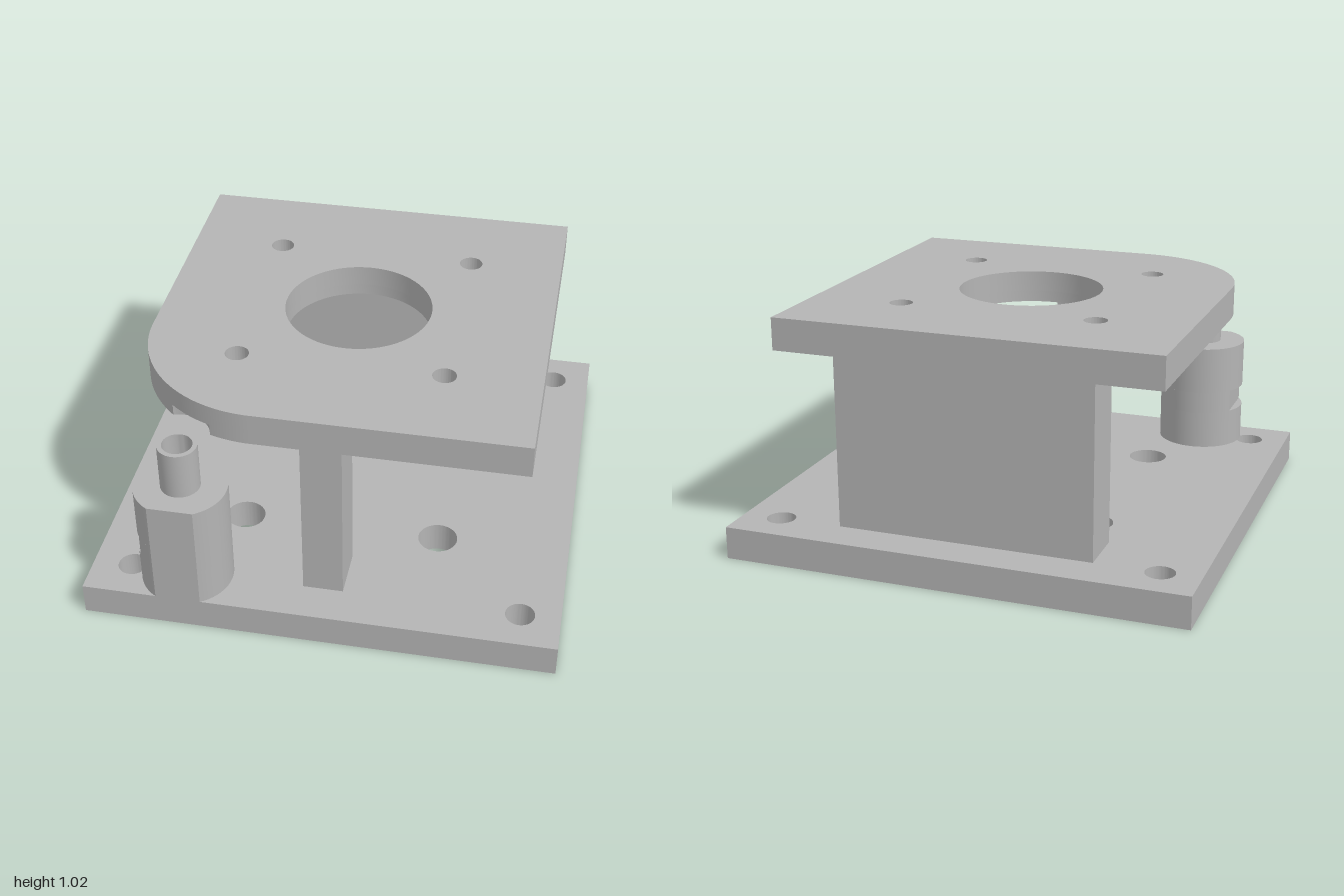
import * as THREE from 'three';
import { toCreasedNormals } from 'three/addons/utils/BufferGeometryUtils.js';

const HOLE = 0.43;                                  // bolt pattern half spacing
const EDGE = 0.83;                                  // half size of top plate
const CORNER = { x: -0.28, y: -0.28, r: 0.55 };     // rounded corner (plan, y = -z)
const BOSS = { x: -0.585, y: -0.83, r: 0.195 };     // boss axis (plan, y = -z)

export function createModel() {
  const group = new THREE.Group();
  group.name = 'mountingBracket';
  const grey = new THREE.MeshStandardMaterial({ color: 0xb4b4b4 });
  grey.name = 'plain grey';

  const add = (name, geometry, parent = group) => {
    const mesh = new THREE.Mesh(geometry, grey);
    mesh.name = name;
    parent.add(mesh);
    return mesh;
  };

  // Extrude a plan shape upward between two heights
  const slab = (shape, y0, y1) => {
    const geo = new THREE.ExtrudeGeometry(shape, { depth: y1 - y0, bevelEnabled: false, curveSegments: 40 });
    geo.rotateX(-Math.PI / 2).translate(0, y0, 0);
    return toCreasedNormals(geo, 0.5);
  };
  const drill = (shape, x, y, r) => {
    const hole = new THREE.Path();
    hole.absarc(x, y, r, 0, Math.PI * 2, true);
    shape.holes.push(hole);
  };
  const drillFour = (shape, d, r) => {
    for (const sx of [-1, 1]) for (const sy of [-1, 1]) drill(shape, sx * d, sy * d, r);
  };

  // Base plate with corner and inner holes
  const base = new THREE.Shape([[-1, -1], [1, -1], [1, 1], [-1, 1]].map(([x, y]) => new THREE.Vector2(x, y)));
  drillFour(base, 0.83, 0.062);
  drillFour(base, HOLE, 0.085);
  add('basePlate', slab(base, 0, 0.14));

  // Top plate: one rounded corner, with a relief above the pin on its underside
  const plateShape = (reliefRadius) => {
    const s = new THREE.Shape();
    const { x, y, r } = CORNER;
    s.moveTo(EDGE, -EDGE);
    s.lineTo(EDGE, EDGE);
    s.lineTo(-EDGE, EDGE);
    s.lineTo(-EDGE, y);
    if (reliefRadius) {
      const dx = BOSS.x - x, dy = BOSS.y - y, d = Math.hypot(dx, dy);
      const mid = Math.atan2(dy, dx) + Math.PI * 2;
      const spread = Math.acos((r * r - reliefRadius ** 2 + d * d) / (2 * d * r));
      const angleFromPin = (a) => Math.atan2(y + r * Math.sin(a) - BOSS.y, x + r * Math.cos(a) - BOSS.x);
      s.absarc(x, y, r, Math.PI, mid - spread, false);
      s.absarc(BOSS.x, BOSS.y, reliefRadius, angleFromPin(mid - spread), angleFromPin(mid + spread), true);
      s.absarc(x, y, r, mid + spread, Math.PI * 1.5, false);
    } else {
      s.absarc(x, y, r, Math.PI, Math.PI * 1.5, false);
    }
    drill(s, 0, 0, 0.315);
    drillFour(s, HOLE, 0.05);
    return s;
  };
  const topPlate = new THREE.Group();
  topPlate.name = 'topPlate';
  group.add(topPlate);
  add('topPlateUnderside', slab(plateShape(0.135), 0.88, 0.93), topPlate);
  add('topPlateUpper', slab(plateShape(0), 0.93, 1.02), topPlate);

  // Front leg and wide back wall
  add('frontLeg', new THREE.BoxGeometry(0.17, 0.74, 0.22)).position.set(0, 0.51, 0.72);
  add('backWall', new THREE.BoxGeometry(1.11, 0.74, 0.22)).position.set(0, 0.51, -0.72);

  // Boss: cylinder with a flat flush to the base edge and a slot in its outer side
  const bossShape = (slotted) => {
    const s = new THREE.Shape();
    const flat = Math.asin((1 + BOSS.y) / BOSS.r);
    const slot = Math.acos(0.163 / BOSS.r);
    if (slotted) {
      s.absarc(BOSS.x, BOSS.y, BOSS.r, -flat, Math.PI - slot, false);
      s.absarc(BOSS.x, BOSS.y, BOSS.r, Math.PI + slot, Math.PI + flat, false);
    } else {
      s.absarc(BOSS.x, BOSS.y, BOSS.r, -flat, Math.PI + flat, false);
    }
    s.closePath();
    return s;
  };
  const boss = new THREE.Group();
  boss.name = 'boss';
  group.add(boss);
  add('bossLower', slab(bossShape(false), 0.14, 0.31), boss);
  add('bossSlot', slab(bossShape(true), 0.31, 0.41), boss);
  add('bossUpper', slab(bossShape(false), 0.41, 0.625), boss);

  // Hollow pin on top of the boss
  const profile = [[0.083, 0.625], [0.083, 0.835], [0.063, 0.835], [0.063, 0.63], [0, 0.63]];
  const pin = new THREE.LatheGeometry(profile.map(([r, y]) => new THREE.Vector2(r, y)), 48);
  add('hollowPin', toCreasedNormals(pin, 0.5)).position.set(BOSS.x, 0, -BOSS.y);

  return group;
}
